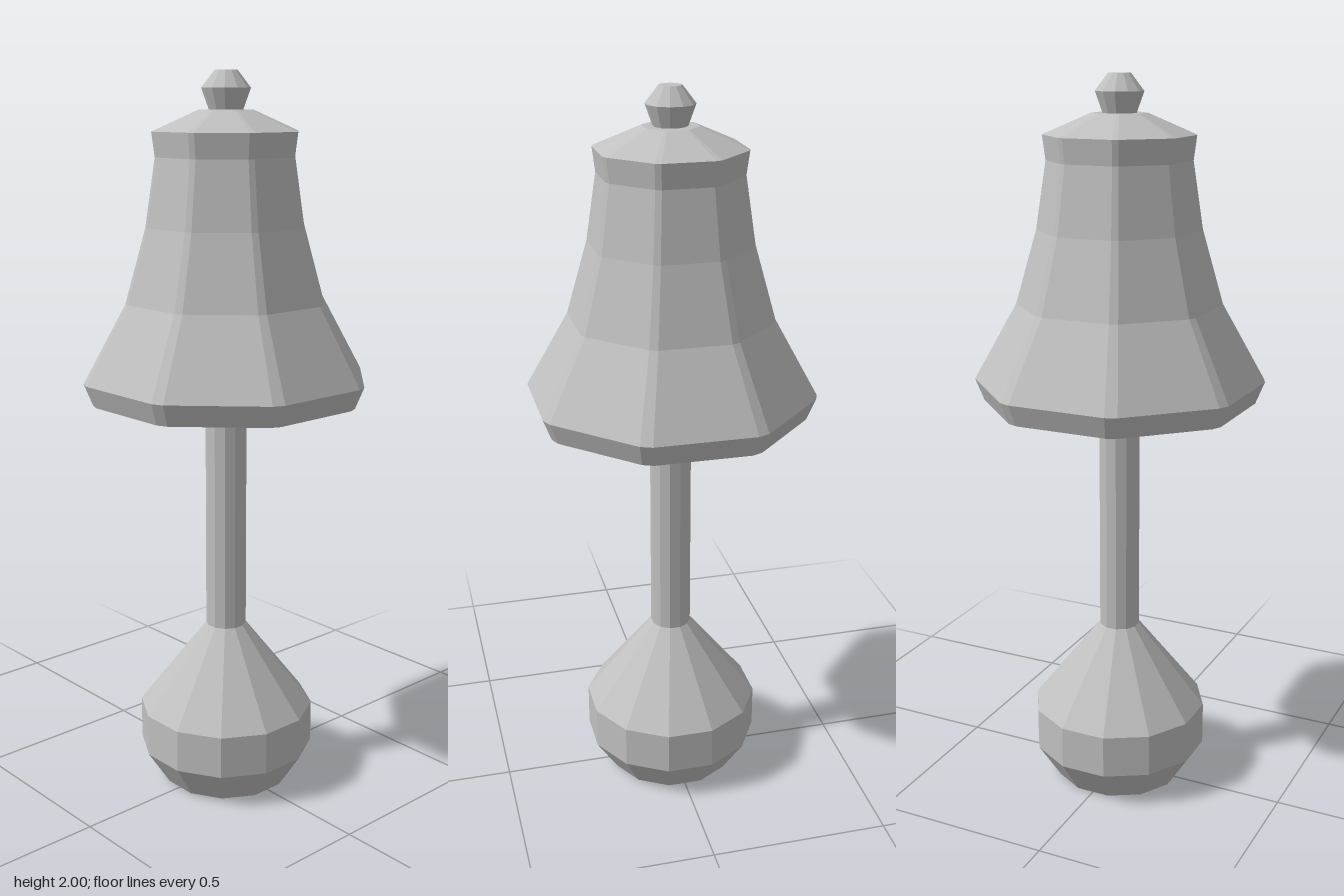
import * as THREE from 'three';

const grey = new THREE.MeshStandardMaterial({ name: 'plain grey', color: 0xc0c0c0, flatShading: true });

// Closed turned solid from a bottom-to-top list of [distance to flat side, height];
// angleOf(i) gives the angle in degrees of corner i.
function turned(name, profile, sides, angleOf, flatHalfAngle) {
  const scale = 1 / Math.cos(THREE.MathUtils.degToRad(flatHalfAngle));
  const points = [[0, profile[0][1]], ...profile, [0, profile[profile.length - 1][1]]]
    .map(([r, y]) => new THREE.Vector2(r * scale, y));
  const geometry = new THREE.LatheGeometry(points, sides);
  const pos = geometry.attributes.position;
  for (let v = 0; v < pos.count; v++) {
    const a = THREE.MathUtils.degToRad(angleOf(Math.floor(v / points.length)));
    const p = points[v % points.length];
    pos.setXYZ(v, p.x * Math.sin(a), p.y, p.x * Math.cos(a));
  }
  geometry.computeVertexNormals();
  const mesh = new THREE.Mesh(geometry, grey);
  mesh.name = name;
  return mesh;
}

// Twelve-sided part with a flat side facing the front
const twelveSided = (name, profile) => turned(name, profile, 12, i => 15 + 30 * i, 15);

// Octagonal part with narrow chamfers on its corners
const chamferedOctagon = (name, profile) =>
  turned(name, profile, 16, i => 45 * Math.floor(i / 2) + (i % 2 ? 24.9 : 20.1), 20.1);

export function createModel() {
  const lamp = new THREE.Group();
  lamp.name = 'tableLamp';
  lamp.add(
    twelveSided('base', [[0.178, 0], [0.24, 0.1], [0.24, 0.22], [0.055, 0.465]]),
    twelveSided('stem', [[0.055, 0.45], [0.055, 1.14]]),
    chamferedOctagon('shade', [
      [0.35, 1.13], [0.373, 1.19], [0.262, 1.4], [0.208, 1.6],
      [0.182, 1.78], [0.19, 1.845], [0.07, 1.9],
    ]),
    twelveSided('finial', [[0.042, 1.895], [0.063, 1.955], [0.029, 2]]),
  );
  return lamp;
}
